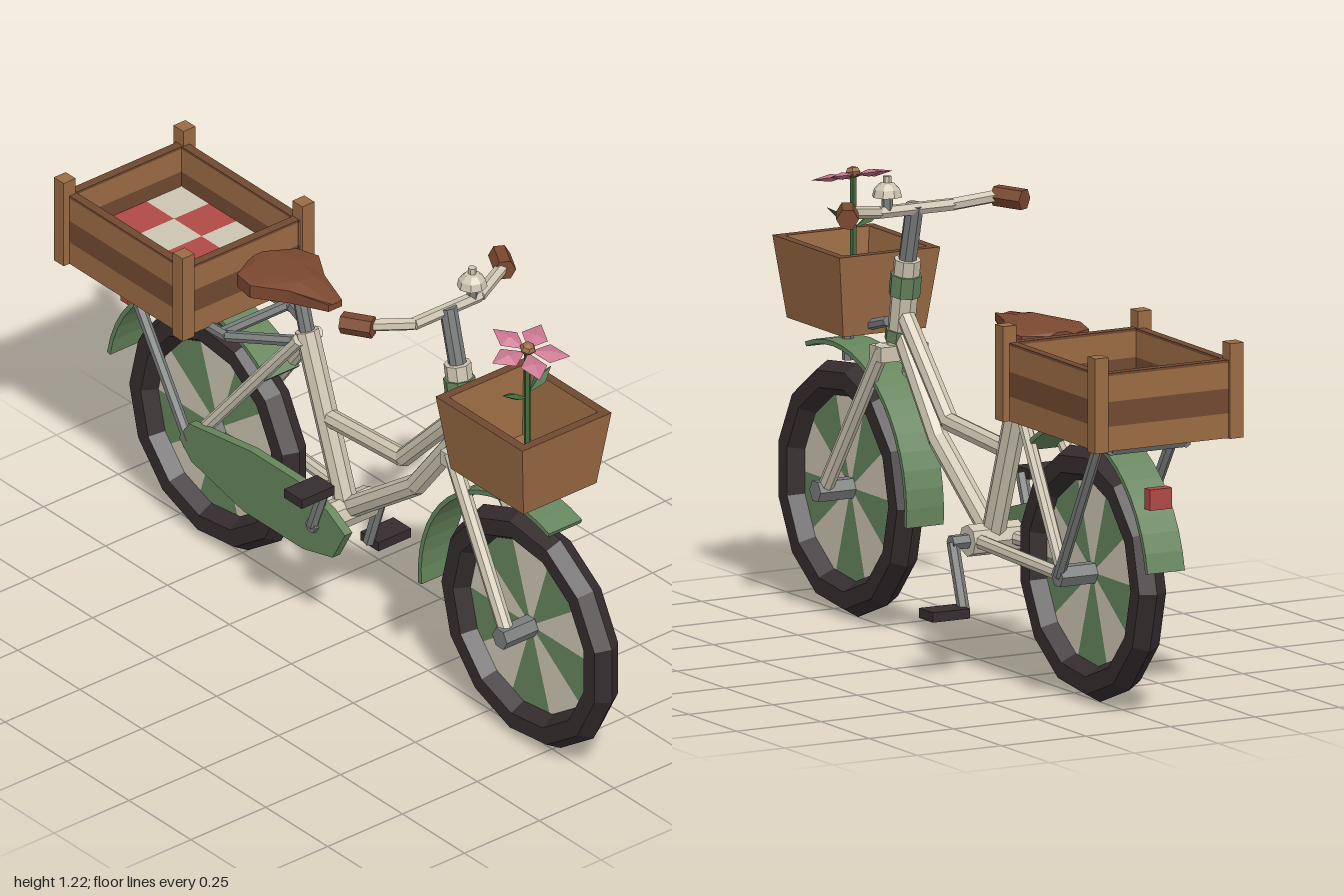
import * as THREE from 'three';

const mat = (name, color, double) => {
  const m = new THREE.MeshStandardMaterial({ color });
  m.name = name;
  if (double) m.side = THREE.DoubleSide;
  return m;
};
const V = (x, y, z) => new THREE.Vector3(x, y, z);

export function createModel() {
  const cream = mat('cream', 0xcdc5b1, true), green = mat('green', 0x66855d, true);
  const leafGreen = mat('leafGreen', 0x416b3c), steel = mat('steel', 0x7b7d7d);
  const rubber = mat('rubber', 0x352c2e), red = mat('red', 0xb04a46);
  const pink = mat('pink', 0xc97590), wood = mat('wood', 0x9a6b43);
  const darkWood = mat('darkWood', 0x714930), leather = mat('leather', 0x7b4830);

  const bike = new THREE.Group();
  bike.name = 'bicycle';

  // Adds a faceted mesh
  const add = (name, geo, material, parent = bike) => {
    const g = geo.index ? geo.toNonIndexed() : geo;
    g.computeVertexNormals();
    const mesh = new THREE.Mesh(g, material);
    mesh.name = name;
    parent.add(mesh);
    return mesh;
  };
  const box = (name, m, w, h, d, x, y, z, parent) =>
    add(name, new THREE.BoxGeometry(w, h, d).translate(x, y, z), m, parent);
  // Straight round bar between two points
  const bar = (name, m, a, b, r, sides = 8, r2 = r) => {
    const dir = b.clone().sub(a);
    const g = new THREE.CylinderGeometry(r2, r, dir.length(), sides);
    g.applyQuaternion(new THREE.Quaternion().setFromUnitVectors(V(0, 1, 0), dir.normalize()));
    const c = a.clone().add(b).multiplyScalar(0.5);
    return add(name, g.translate(c.x, c.y, c.z), m);
  };
  const path = (name, m, pts, r, sides) => {
    for (let i = 0; i + 1 < pts.length; i++) bar(name, m, pts[i], pts[i + 1], r, sides);
  };
  // Profile drawn in (-z, y), extruded across x
  const sidePlate = (name, m, shape, width, x, y, z, segs = 10) => {
    const g = new THREE.ExtrudeGeometry(shape, { depth: width, bevelEnabled: false, curveSegments: segs });
    return add(name, g.translate(0, 0, -width / 2).rotateY(Math.PI / 2).translate(x, y, z), m);
  };
  // Closed solid lofted through rings of equal point count
  const loft = (name, m, rings) => {
    const n = rings[0].length, pos = rings.flat(), idx = [];
    for (let k = 0; k + 1 < rings.length; k++) for (let i = 0; i < n; i++) {
      const a = k * n + i, b = k * n + (i + 1) % n;
      idx.push(a, b, a + n, b, b + n, a + n);
    }
    const last = (rings.length - 1) * n;
    for (let i = 1; i + 1 < n; i++) idx.push(0, i + 1, i, last, last + i, last + i + 1);
    const g = new THREE.BufferGeometry().setFromPoints(pos);
    g.setIndex(idx);
    return add(name, g, m);
  };

  const axleY = 0.337, frontZ = 0.665, rearZ = -0.595;

  // Wheels with ten-sector covers
  for (const [label, z] of [['front', frontZ], ['rear', rearZ]]) {
    const wheel = new THREE.Group();
    wheel.name = label + 'Wheel';
    wheel.position.set(0, axleY, z);
    bike.add(wheel);
    add('tyre', new THREE.TorusGeometry(0.29, 0.046, 6, 13).rotateY(Math.PI / 2), rubber, wheel);
    for (let k = 0; k < 10; k++)
      add('wheelSector', new THREE.CircleGeometry(0.28, 3, k * Math.PI / 5, Math.PI / 5).rotateY(Math.PI / 2),
        k % 2 ? green : cream, wheel);
    add('hub', new THREE.CylinderGeometry(0.03, 0.03, 0.21, 6).rotateZ(Math.PI / 2), steel, wheel);
  }

  // Mudguards
  const fender = (name, z, from, to) => {
    const s = new THREE.Shape(), a = from * Math.PI / 180, b = to * Math.PI / 180;
    s.absarc(0, 0, 0.39, a, b, false);
    s.absarc(0, 0, 0.377, b, a, true);
    sidePlate(name, green, s, 0.11, 0, axleY, z, 8);
  };
  fender('frontMudguard', frontZ, -5, 111);
  fender('rearMudguard', rearZ, 10, 132);
  box('rearReflector', red, 0.065, 0.055, 0.03, 0, 0.592, -0.937);

  // Frame tubes
  const bb = V(0, 0.34, -0.075), seatTop = V(0, 0.8, -0.24);
  const headLow = V(0, 0.735, 0.412), headTop = V(0, 0.99, 0.368);
  const onHead = (t) => headLow.clone().lerp(headTop, t);
  bar('headTube', cream, headLow, headTop, 0.036);
  bar('upperHeadBand', green, onHead(0.62), onHead(0.84), 0.042);
  bar('lowerHeadBand', green, onHead(0.14), onHead(0.26), 0.042);
  path('upperTube', cream, [V(0, 0.85, 0.39), V(0, 0.6, 0.15), V(0, 0.58, -0.155)], 0.025);
  path('lowerTube', cream, [V(0, 0.8, 0.4), V(0, 0.545, 0.205), bb], 0.029);
  bar('seatTube', cream, bb, seatTop, 0.032);
  bar('bottomBracket', cream, V(-0.075, 0.335, -0.075), V(0.075, 0.335, -0.075), 0.042);
  bar('seatPost', steel, seatTop, V(0, 0.92, -0.275), 0.021);
  box('forkCrown', cream, 0.14, 0.04, 0.06, 0, 0.74, 0.412);
  for (const s of [-1, 1]) {
    bar('forkLeg', cream, V(s * 0.078, axleY, frontZ), V(s * 0.052, 0.755, 0.405), 0.021);
    bar('chainStay', cream, V(s * 0.05, 0.335, -0.075), V(s * 0.085, axleY, rearZ), 0.019);
    bar('seatStay', cream, V(s * 0.03, 0.785, -0.235), V(s * 0.085, axleY, rearZ), 0.018);
    // Rear rack
    path('rackRail', steel, [V(s * 0.03, 0.775, -0.25), V(s * 0.11, 0.735, -0.43), V(s * 0.11, 0.72, -0.89)], 0.015, 6);
    bar('rackStrut', steel, V(s * 0.1, axleY, rearZ), V(s * 0.11, 0.72, -0.82), 0.015, 6);
    bar('boxBracket', steel, V(s * 0.03, 0.82, 0.42), V(s * 0.055, 0.768, 0.6), 0.014, 6);
    // Cranks and pedals
    const py = s > 0 ? 0.165 : 0.485, pz = s > 0 ? -0.132 : -0.018;
    bar('crankArm', steel, V(s * 0.118, 0.335, -0.075), V(s * 0.118, py, pz), 0.016, 6);
    box('pedal', rubber, 0.11, 0.026, 0.072, s * 0.175, py, pz);
  }
  bar('rackCrossbar', steel, V(-0.11, 0.72, -0.88), V(0.11, 0.72, -0.88), 0.015, 6);
  bar('rackFrontBar', steel, V(-0.11, 0.735, -0.45), V(0.11, 0.735, -0.45), 0.015, 6);
  bar('crankAxle', steel, V(-0.125, 0.335, -0.075), V(0.125, 0.335, -0.075), 0.02, 6);
  bar('boxStrut', steel, V(0, 0.67, 0.68), V(0, 0.78, 0.68), 0.015, 6);

  // Chain guard
  const guard = new THREE.Shape([[-0.05, 0.36], [0, 0.27], [0.12, 0.24], [0.36, 0.24], [0.57, 0.29],
    [0.62, 0.34], [0.58, 0.4], [0.33, 0.435], [0.14, 0.435], [0.02, 0.4]].map((p) => new THREE.Vector2(...p)));
  sidePlate('chainGuard', green, guard, 0.025, -0.1, 0, 0);

  // Saddle: z, half width, top, bottom
  const saddle = [[-0.435, 0.035, 0.94, 0.9], [-0.4, 0.1, 0.945, 0.895], [-0.33, 0.115, 0.95, 0.9],
    [-0.24, 0.06, 0.955, 0.905], [-0.125, 0.022, 0.935, 0.918]].map(([z, w, t, b]) =>
    [V(-w, b, z), V(w, b, z), V(w, (t + b) / 2 + 0.012, z), V(w * 0.4, t, z), V(-w * 0.4, t, z), V(-w, (t + b) / 2 + 0.012, z)]);
  loft('saddle', leather, saddle);

  // Handlebar, grips and bell
  bar('stem', steel, headTop, V(0, 1.14, 0.33), 0.024);
  path('handlebar', cream, [V(-0.225, 1.15, 0.28), V(-0.11, 1.13, 0.325), V(0.11, 1.13, 0.325), V(0.225, 1.15, 0.28)], 0.017, 6);
  for (const s of [-1, 1])
    bar('grip', leather, V(s * 0.22, 1.148, 0.295), V(s * 0.262, 1.145, 0.22), 0.029, 6);
  add('bell', new THREE.SphereGeometry(0.04, 8, 3, 0, Math.PI * 2, 0, Math.PI / 2).translate(0.085, 1.17, 0.325), cream);
  bar('bellKnob', cream, V(0.085, 1.2, 0.325), V(0.085, 1.224, 0.325), 0.011, 6);
  bar('bellMount', steel, V(0.085, 1.13, 0.325), V(0.085, 1.172, 0.325), 0.015, 6);

  // Rear crate of planks, with corner posts
  const crate = new THREE.Group();
  crate.name = 'rearCrate';
  bike.add(crate);
  const cz = -0.735;
  for (const [y0, y1, m] of [[0.74, 0.805, wood], [0.805, 0.87, darkWood], [0.87, 0.938, wood], [0.938, 0.945, darkWood]])
    for (const s of [-1, 1]) {
      box('sidePlank', m, 0.025, y1 - y0, 0.5, s * 0.188, (y0 + y1) / 2, cz, crate);
      box('endPlank', m, 0.37, y1 - y0, 0.025, 0, (y0 + y1) / 2, cz + s * 0.235, crate);
    }
  for (const sx of [-1, 1]) for (const sz of [-1, 1])
    box('cratePost', wood, 0.04, 0.25, 0.04, sx * 0.2, 0.865, cz + sz * 0.24, crate);
  box('crateFloor', darkWood, 0.355, 0.075, 0.45, 0, 0.78, cz, crate);
  // Checked cloth
  for (let r = 0; r < 4; r++) for (let c = 0; c < 3; c++)
    box('clothCheck', (r + c) % 2 ? red : cream, 0.117, 0.008, 0.111,
      (c - 1) * 0.117, 0.822, cz + (r - 1.5) * 0.111, crate);

  // Tapered front box, open at the top
  const bz = 0.635;
  const rect = (w, d, y) => [V(-w, y, bz + d), V(w, y, bz + d), V(w, y, bz - d), V(-w, y, bz - d)];
  const walls = (name, m, lower, upper) => {
    const p = [];
    for (let i = 0; i < 4; i++) {
      const j = (i + 1) % 4;
      p.push(lower[i], lower[j], upper[i], lower[j], upper[j], upper[i]);
    }
    add(name, new THREE.BufferGeometry().setFromPoints(p), m);
  };
  walls('frontBoxOutside', wood, rect(0.122, 0.147, 0.775), rect(0.149, 0.175, 0.99));
  walls('frontBoxRim', darkWood, rect(0.149, 0.175, 0.99), rect(0.124, 0.15, 0.99));
  walls('frontBoxInside', wood, rect(0.124, 0.15, 0.99), rect(0.1, 0.125, 0.8));
  box('frontBoxFloor', wood, 0.24, 0.025, 0.29, 0, 0.7885, bz);

  // Potted flower
  bar('flowerStem', leafGreen, V(0, 0.79, 0.65), V(0, 1.155, 0.65), 0.009, 5);
  for (const [s, y, rise] of [[-1, 1.02, 0.035], [1, 1.03, 0.055]]) {
    const leaf = new THREE.OctahedronGeometry(1).scale(0.046, 0.008, 0.022);
    add('leaf', leaf.rotateZ(s * Math.atan2(rise, 0.08)).translate(s * 0.042, y + rise / 2, 0.65), leafGreen);
  }
  const flower = new THREE.Group();
  flower.name = 'flower';
  flower.position.set(0, 1.16, 0.65);
  flower.rotation.x = 0.25;
  bike.add(flower);
  for (let i = 0; i < 5; i++) {
    const petal = new THREE.OctahedronGeometry(1).scale(0.036, 0.01, 0.052);
    add('petal', petal.translate(0, 0, -0.06).rotateY(0.25 + i * Math.PI * 0.4), pink, flower);
  }
  add('flowerCentre', new THREE.SphereGeometry(0.022, 6, 4).scale(1, 0.7, 1).translate(0, 0.008, 0), wood, flower);

  return bike;
}
